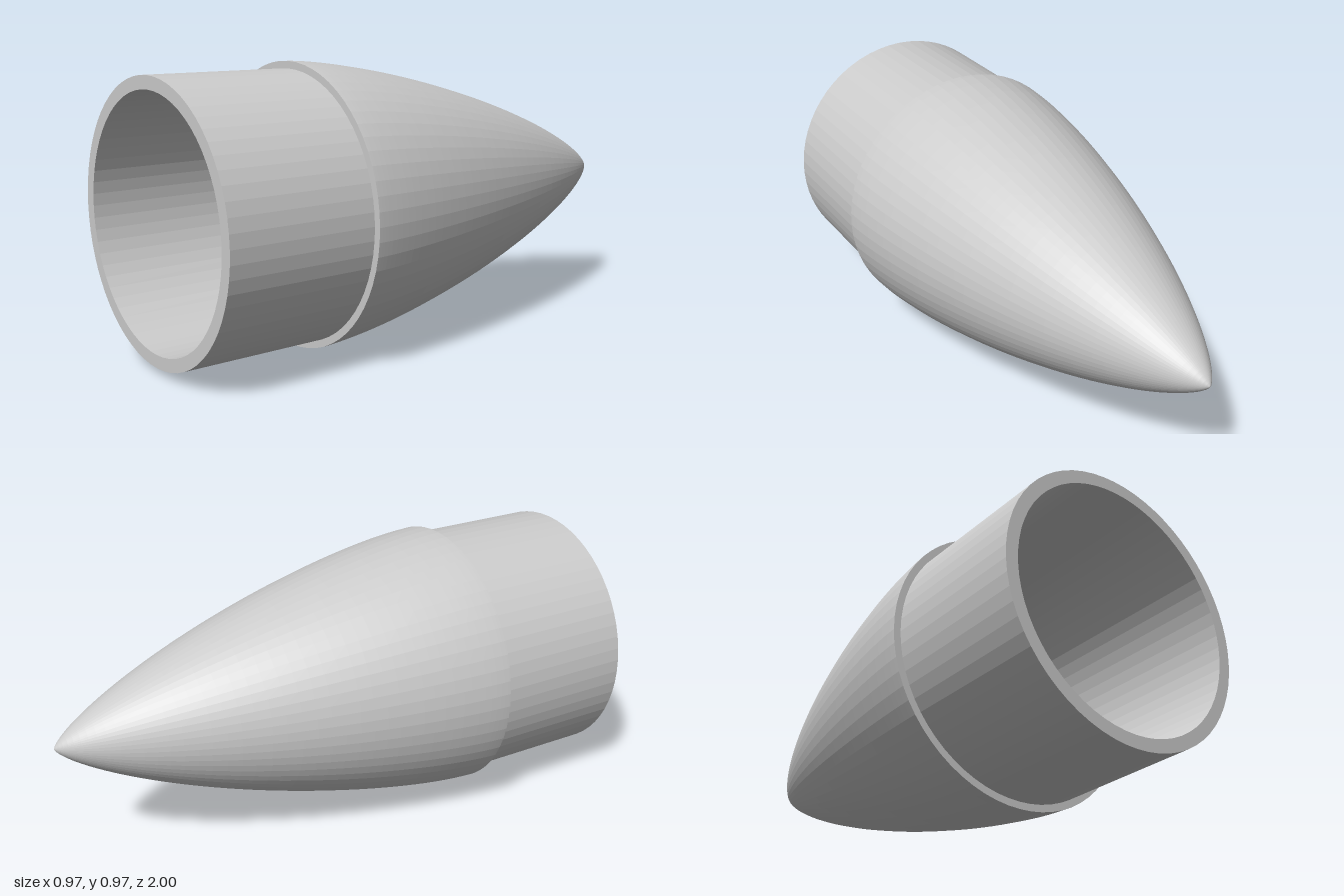
import * as THREE from 'three';

const SEGMENTS = 64;
const RADIUS = 0.487;     // nose base
const SHOULDER = 0.462;   // shoulder outside
const BORE = 0.418;       // shoulder inside
const WALL = SHOULDER - BORE;
const BASE_Z = 0.487, TIP_Z = -1, MOUTH_Z = 1;

// Haack-series nose radius; a runs from 0 at the tip to PI at the base
const noseRadius = (a) => RADIUS * Math.sqrt(Math.max(0, a - Math.sin(2 * a) / 2) / Math.PI);
const noseZ = (a) => TIP_Z + (BASE_Z - TIP_Z) * (1 - Math.cos(a)) / 2;

// Smallest-interval search for the angle where the nose has a given radius
function angleAt(radius) {
  let lo = 0, hi = Math.PI;
  for (let i = 0; i < 40; i++) {
    const mid = (lo + hi) / 2;
    if (noseRadius(mid) < radius) lo = mid; else hi = mid;
  }
  return lo;
}

// Points [radius, z] along the nose curve, inset by a wall thickness
function nosePoints(from, to, inset, steps) {
  return Array.from({ length: steps + 1 }, (_, i) => {
    const a = from + (to - from) * i / steps;
    return [Math.max(0, noseRadius(a) - inset), noseZ(a)];
  });
}

export function createModel() {
  const group = new THREE.Group();
  group.name = 'noseCone';
  const material = new THREE.MeshStandardMaterial({ color: 0xcccccc, flatShading: true });

  // Revolve a profile round the z axis
  function revolve(name, profile) {
    const points = profile.map(([r, z]) => new THREE.Vector2(r, -z));
    const geometry = new THREE.LatheGeometry(points, SEGMENTS);
    geometry.rotateX(-Math.PI / 2);
    geometry.translate(0, RADIUS, 0);
    const mesh = new THREE.Mesh(geometry, material);
    mesh.name = name;
    group.add(mesh);
  }

  // Pointed outer skin with the step at its base
  revolve('noseShell', [[SHOULDER, BASE_Z], ...nosePoints(Math.PI, 0, 0, 48)]);

  // Narrower sleeve with its front rim
  revolve('shoulder', [[BORE, MOUTH_Z], [SHOULDER, MOUTH_Z], [SHOULDER, BASE_Z]]);

  // Hollow inside: tapered cavity running into a straight bore
  const inner = nosePoints(angleAt(WALL), angleAt(BORE + WALL), WALL, 40);
  revolve('cavity', [...inner, [BORE, MOUTH_Z]]);

  return group;
}
